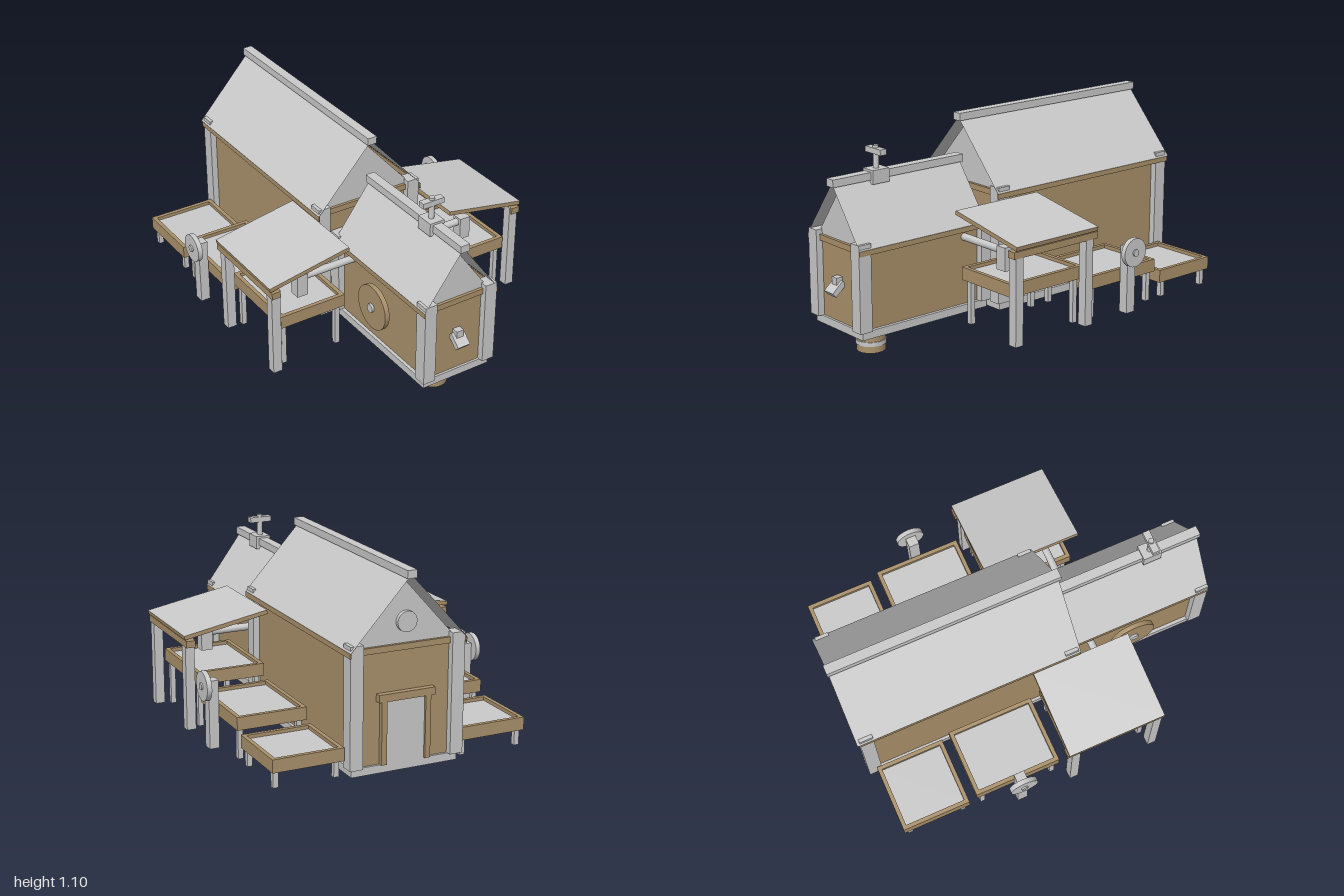
import * as THREE from 'three';

export function createModel() {
  const root = new THREE.Group();
  root.name = 'mill';
  const grey = new THREE.MeshStandardMaterial({ color: 0xcacaca, side: THREE.DoubleSide });
  grey.name = 'grey stone';
  const wood = new THREE.MeshStandardMaterial({ color: 0xaa916b });
  wood.name = 'brown wood';

  function add(name, geo, mat, parent = root) {
    const m = new THREE.Mesh(geo, mat);
    m.name = name;
    parent.add(m);
    return m;
  }
  // box given by its limits on each axis
  function box(name, mat, x0, x1, y0, y1, z0, z1, parent = root) {
    const m = add(name, new THREE.BoxGeometry(Math.abs(x1 - x0), y1 - y0, z1 - z0), mat, parent);
    m.position.set((x0 + x1) / 2, (y0 + y1) / 2, (z0 + z1) / 2);
    return m;
  }
  // hollow grey box without its bottom face
  function openBox(name, ...limits) {
    const m = box(name, grey, ...limits);
    const index = Array.from(m.geometry.index.array);
    index.splice(18, 6);
    m.geometry.setIndex(index);
    m.geometry.clearGroups();
  }
  // cylinder along an axis
  function rod(name, mat, r, len, axis, x, y, z) {
    const g = new THREE.CylinderGeometry(r, r, len, 24);
    if (axis === 'x') g.rotateZ(Math.PI / 2);
    if (axis === 'z') g.rotateX(Math.PI / 2);
    add(name, g, mat).position.set(x, y, z);
  }

  // one gabled building: base, walls, corner posts, beams, gables, roof and ridge
  function building(name, o) {
    const g = new THREE.Group();
    g.name = name;
    root.add(g);
    openBox('base', -o.base, o.base, 0.137, 0.177, o.z0 - 0.012, o.z1 + 0.012, g);
    box('walls', wood, -o.w, o.w, 0.177, o.eave - 0.002, o.z0, o.z1, g);
    for (const z of [o.z0, o.z1]) {
      box('endBeam', wood, -o.w, o.w, o.eave - 0.027, o.eave + 0.003, z - 0.015, z + 0.015, g);
    }
    for (const s of [-1, 1]) {
      for (const z of [o.z0, o.z1]) {
        box('cornerPost', grey, s * (o.w - 0.033), s * (o.w + 0.033), 0.177, o.eave + 0.027, z - 0.035, z + 0.035, g);
      }
      box('fascia', wood, s * (o.roof - 0.006), s * o.roof, o.eave - 0.027, o.eave - 0.001, o.roofZ0 + 0.008, o.roofZ1, g);
      // roof slope as a thin sheet
      const rise = o.top - o.eave;
      const slope = new THREE.PlaneGeometry(Math.hypot(o.roof, rise), o.roofZ1 - o.roofZ0);
      slope.rotateX(-Math.PI / 2);
      const m = add('roofSlope', slope, grey, g);
      m.rotation.z = -s * Math.atan2(rise, o.roof);
      m.position.set(s * o.roof / 2, o.eave + rise / 2, (o.roofZ0 + o.roofZ1) / 2);
    }
    const tri = new THREE.Shape([
      new THREE.Vector2(-o.w, o.eave - 0.002),
      new THREE.Vector2(o.w, o.eave - 0.002),
      new THREE.Vector2(0, o.gable),
    ]);
    const gable = new THREE.ExtrudeGeometry(tri, { depth: o.z1 - o.z0, bevelEnabled: false });
    add('gable', gable, grey, g).position.z = o.z0;
    box('ridgeBeam', grey, -0.025, 0.025, o.top - 0.015, o.top + 0.023, o.roofZ0 - 0.008, o.roofZ1 + 0.01, g);
  }
  building('mainHall', { w: 0.2625, base: 0.277, z0: -0.94, z1: 0.155, eave: 0.745, roof: 0.302,
    roofZ0: -0.99, roofZ1: 0.2, top: 1.077, gable: 1.035 });
  building('frontAnnex', { w: 0.1725, base: 0.19, z0: 0.19, z1: 0.93, eave: 0.585, roof: 0.21,
    roofZ0: 0.2, roofZ1: 0.965, top: 0.87, gable: 0.823 });

  // back door and round vent
  box('door', grey, -0.1, 0.1, 0.177, 0.485, -0.953, -0.94);
  for (const s of [-1, 1]) box('doorJamb', wood, s * 0.1, s * 0.128, 0.177, 0.485, -0.965, -0.94);
  box('doorLintel', wood, -0.146, 0.146, 0.485, 0.522, -0.97, -0.94);
  rod('gableVent', grey, 0.05, 0.02, 'z', 0, 0.851, -0.95);

  // front spout
  box('spoutBlock', grey, -0.02, 0.02, 0.36, 0.41, 0.92, 0.965);
  const spout = add('spout', new THREE.BoxGeometry(0.07, 0.03, 0.08), grey);
  spout.position.set(0, 0.358, 0.96);
  spout.rotation.x = 0.72;

  // barrel under the annex
  const barrel = add('barrel', new THREE.CylinderGeometry(0.072, 0.072, 0.14, 24), [wood, grey, grey]);
  barrel.position.set(0, 0.07, 0.757);
  rod('barrelBand', grey, 0.076, 0.022, 'y', 0, 0.046, 0.757);

  // wheel on the annex side
  rod('sideWheel', wood, 0.118, 0.025, 'x', -0.213, 0.388, 0.55);
  rod('sideWheelHub', grey, 0.023, 0.07, 'x', -0.203, 0.388, 0.55);

  // valve on the annex ridge
  box('valveBlock', grey, -0.04, 0.04, 0.836, 0.904, 0.658, 0.755);
  rod('valveStem', grey, 0.014, 0.12, 'y', 0, 0.955, 0.706);
  box('valveHandle', grey, -0.06, 0.06, 0.975, 1.003, 0.688, 0.724);

  // tray with rim, floor panel and four legs
  function tray(s, z0, z1, y0) {
    const g = new THREE.Group();
    g.name = 'tray';
    root.add(g);
    const a = 0.303, b = 0.662, t = 0.021, y1 = y0 + 0.065;
    box('trayFloor', grey, s * (a + t), s * (b - t), y0 + 0.012, y1 - 0.018, z0 + t, z1 - t, g);
    for (const x of [a, b - t]) box('traySide', wood, s * x, s * (x + t), y0, y1, z0, z1, g);
    for (const z of [z0, z1 - t]) box('trayEnd', wood, s * (a + t), s * (b - t), y0, y1, z, z + t, g);
    for (const x of [0.333, 0.637]) {
      for (const z of [z0 + 0.034, z1 - 0.034]) {
        openBox('trayLeg', s * (x - 0.013), s * (x + 0.013), 0.137, y0 + 0.013, z - 0.013, z + 0.013, g);
      }
    }
  }

  for (const s of [-1, 1]) {
    tray(s, -0.025, 0.43, 0.36);
    tray(s, -0.53, -0.073, 0.288);
    tray(s, -0.932, -0.571, 0.218);

    // sloping canopy, its beam and posts
    const run = 0.44, drop = 0.08;
    const canopy = add('canopy', new THREE.BoxGeometry(Math.hypot(run, drop), 0.021, 0.517), [wood, wood, grey, grey, wood, wood]);
    canopy.position.set(s * 0.515, 0.66, 0.202);
    canopy.rotation.z = -s * Math.atan2(drop, run);
    box('canopyBeam', wood, s * 0.682, s * 0.728, 0.57, 0.604, -0.063, 0.467);
    for (const z of [-0.013, 0.432]) {
      openBox('canopyPost', s * 0.677, s * 0.725, 0.137, 0.603, z - 0.023, z + 0.023);
    }

    // side pipe with end block
    rod('pipe', grey, 0.019, 0.32, 'x', s * 0.31, 0.522, 0.308);
    box('pipeEnd', grey, s * 0.455, s * 0.515, 0.432, 0.55, 0.282, 0.34);

    // disc on a post
    openBox('discPost', s * 0.672, s * 0.722, 0.137, 0.48, -0.33, -0.275);
    rod('disc', grey, 0.073, 0.025, 'x', s * 0.735, 0.452, -0.303);
    rod('discHub', grey, 0.018, 0.06, 'x', s * 0.725, 0.452, -0.303);
  }
  return root;
}
